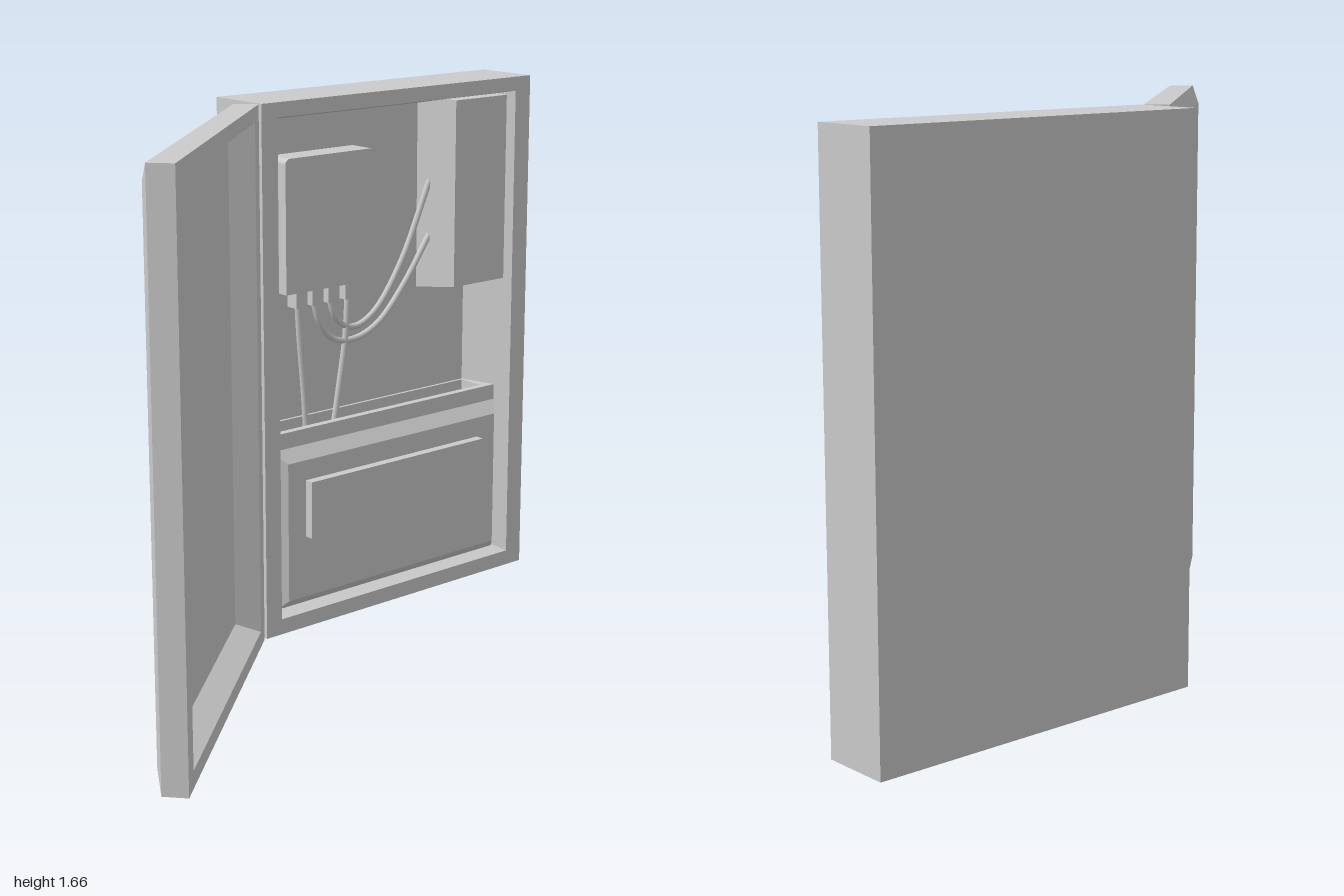
import * as THREE from 'three';

const mat = new THREE.MeshStandardMaterial({ color: 0xcccccc });
const flat = new THREE.MeshStandardMaterial({ color: 0xcccccc, flatShading: true });

// Capped loft through rectangles [x0, x1, y0, y1, z]
function loft(rects) {
  const pos = [];
  const loops = rects.map(([a, b, c, d, z]) => [[a, c, z], [b, c, z], [b, d, z], [a, d, z]]);
  const quad = (p, q, r, s) => pos.push(...p, ...q, ...r, ...p, ...r, ...s);
  for (let i = 0; i < loops.length - 1; i++) {
    for (let k = 0; k < 4; k++) {
      const n = (k + 1) % 4;
      quad(loops[i][k], loops[i][n], loops[i + 1][n], loops[i + 1][k]);
    }
  }
  const s = loops[0], e = loops[loops.length - 1];
  quad(s[3], s[2], s[1], s[0]);
  quad(e[0], e[1], e[2], e[3]);
  const geo = new THREE.BufferGeometry();
  geo.setAttribute('position', new THREE.Float32BufferAttribute(pos, 3));
  geo.computeVertexNormals();
  return geo;
}

function add(parent, name, geo, material = flat) {
  const mesh = new THREE.Mesh(geo, material);
  mesh.name = name;
  parent.add(mesh);
  return mesh;
}

function box(x0, x1, y0, y1, z0, z1) {
  return new THREE.BoxGeometry(x1 - x0, y1 - y0, z1 - z0)
    .translate((x0 + x1) / 2, (y0 + y1) / 2, (z0 + z1) / 2);
}

export function createModel() {
  const model = new THREE.Group();
  model.name = 'wallCabinet';
  const H = 1.665;

  // Cabinet group: local x runs towards the back, local z out of the opening
  const cabinet = new THREE.Group();
  cabinet.name = 'cabinet';
  cabinet.rotation.y = Math.PI / 2;
  model.add(cabinet);

  // Shell with tapered recess
  add(cabinet, 'cabinetShell', loft([
    [-0.11, 1, 0, H, -0.475],
    [-0.11, 1, 0, H, -0.26],
    [-0.05, 0.935, 0.05, 1.62, -0.26],
    [0, 0.89, 0.085, 1.585, -0.445],
  ]));

  // Document pocket, open at the top
  const pocket = new THREE.Group();
  pocket.name = 'pocket';
  cabinet.add(pocket);
  add(pocket, 'pocketBody', loft([
    [-0.035, 0.92, 0.32, 0.445, 0.05],
    [-0.035, 0.92, 0.32, 0.445, 0.63],
    [0.01, 0.88, 0.345, 0.435, 0.63],
    [0.01, 0.88, 0.345, 0.435, 0.1],
  ]).rotateX(-Math.PI / 2));
  add(pocket, 'pocketFront', loft([
    [-0.035, 0.92, 0.051, 0.58, -0.321],
    [0, 0.89, 0.09, 0.54, -0.285],
  ]));
  add(pocket, 'pocketPlate', box(0.07, 0.81, 0.29, 0.475, -0.29, -0.255));

  // Meter box with rounded upper corners
  const [x0, x1, y0, y1, r] = [0.055, 0.415, 1.055, 1.475, 0.018];
  const outline = new THREE.Shape();
  outline.moveTo(x0, y0).lineTo(x1, y0).lineTo(x1, y1 - r);
  outline.absarc(x1 - r, y1 - r, r, 0, Math.PI / 2);
  outline.lineTo(x0 + r, y1);
  outline.absarc(x0 + r, y1 - r, r, Math.PI / 2, Math.PI);
  add(cabinet, 'meterBox', new THREE.ExtrudeGeometry(outline,
    { depth: 0.095, bevelEnabled: false, curveSegments: 6 }).translate(0, 0, -0.45));

  // Tapered junction box in the upper corner
  add(cabinet, 'junctionBox', loft([
    [0.675, 0.93, 0.98, 1.615, -0.45],
    [0.70, 0.925, 1.0, 1.605, -0.29],
  ]));

  // Cable glands under the meter box
  const glands = [0.135, 0.2, 0.265, 0.335];
  for (const x of glands) {
    add(cabinet, 'cableGland', box(x - 0.022, x + 0.022, 1.0, 1.06, -0.422, -0.378));
  }

  // Cables: two drop into the pocket, two loop to the junction box
  const paths = [
    [[0.135, 1.01], [0.142, 0.9], [0.158, 0.72], [0.172, 0.5]],
    [[0.2, 1.01], [0.222, 0.94], [0.28, 0.875], [0.37, 0.862], [0.47, 0.9], [0.58, 1.01], [0.69, 1.16]],
    [[0.265, 1.01], [0.285, 0.95], [0.33, 0.91], [0.38, 0.903], [0.46, 0.945], [0.57, 1.09], [0.69, 1.34]],
    [[0.34, 1.01], [0.33, 0.87], [0.305, 0.72], [0.265, 0.5]],
  ];
  for (const path of paths) {
    const curve = new THREE.CatmullRomCurve3(path.map(([x, y]) => new THREE.Vector3(x, y, -0.4)));
    add(cabinet, 'cable', new THREE.TubeGeometry(curve, 40, 0.01, 10), mat);
  }

  // Open door: raised outer panel, recessed inner face
  const W = 1.105;
  const door = add(model, 'door', loft([
    [0.095, W - 0.095, 0.085, 1.585, 0.073],
    [0.06, W - 0.06, 0.05, 1.62, 0],
    [0, W, 0, H, 0],
    [0, W, 0, H, 0.074],
    [0.057, W - 0.057, 0.055, H - 0.055, 0.097],
  ]));
  door.position.set(-0.26, 0, 0.12);
  door.rotation.y = -0.849;

  // Hinges
  for (const y of [0.05, 1.43]) {
    add(model, 'hinge', box(-0.365, -0.3, y, y + 0.105, 0.1, 0.18));
  }
  return model;
}
